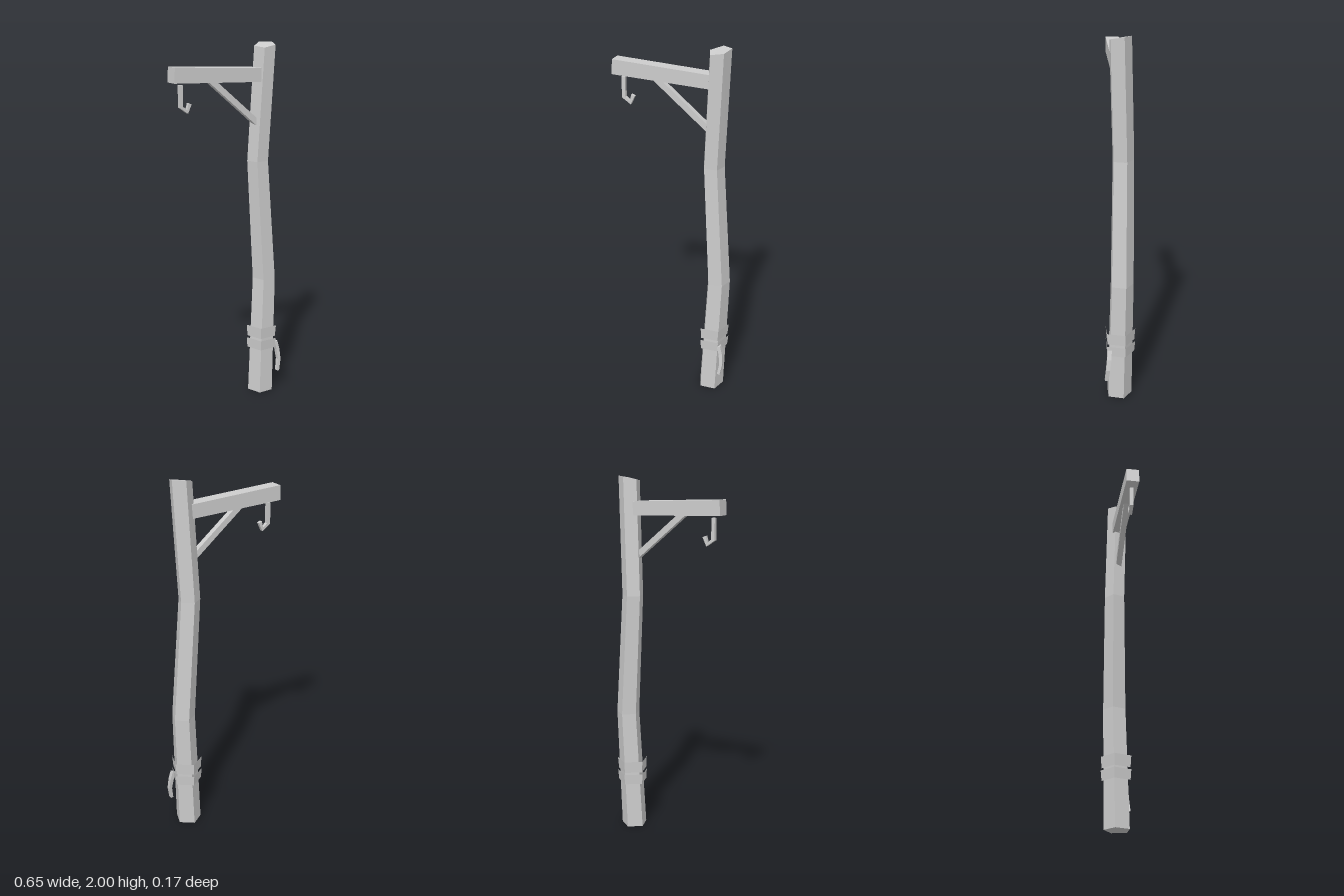
import * as THREE from 'three';

const stone = new THREE.MeshStandardMaterial({ color: 0xcccccc });
stone.name = 'plainGrey';

// Skins a list of rings (clockwise seen from the end); unshared corners keep the facets flat
function loft(name, rings, capped = true) {
  const pos = [];
  const tri = (...pts) => pts.forEach((p) => pos.push(p.x, p.y, p.z));
  const n = rings[0].length;
  for (let i = 0; i < rings.length - 1; i++) {
    const a = rings[i], b = rings[i + 1];
    for (let k = 0; k < n; k++) {
      const m = (k + 1) % n;
      tri(a[k], b[k], b[m]);
      tri(a[k], b[m], a[m]);
    }
  }
  if (capped) {
    const mid = (r) => r.reduce((s, p) => s.add(p), new THREE.Vector3()).divideScalar(n);
    const first = rings[0], last = rings[rings.length - 1];
    const c0 = mid(first), c1 = mid(last);
    for (let k = 0; k < n; k++) {
      const m = (k + 1) % n;
      tri(c0, first[k], first[m]);
      tri(c1, last[m], last[k]);
    }
  }
  const geo = new THREE.BufferGeometry();
  geo.setAttribute('position', new THREE.Float32BufferAttribute(pos, 3));
  geo.computeVertexNormals();
  const mesh = new THREE.Mesh(geo, stone);
  mesh.name = name;
  return mesh;
}

// Horizontal five-sided ring with one corner to the back
function pentagon(x, y, z, r, rise = [0, 0, 0, 0, 0]) {
  return rise.map((dy, k) => {
    const a = (k * Math.PI * 2) / 5;
    return new THREE.Vector3(x + r * Math.sin(a), y + dy, z - r * Math.cos(a));
  });
}

// Square bar along points [x, y, z, half width, half depth]
function bar(name, points) {
  const rings = points.map(([x, y, z, w, d], i) => {
    const p = points[Math.max(i - 1, 0)], q = points[Math.min(i + 1, points.length - 1)];
    const dir = new THREE.Vector2(q[0] - p[0], q[1] - p[1]).normalize();
    return [[1, 1], [1, -1], [-1, -1], [-1, 1]].map(([s, t]) =>
      new THREE.Vector3(x - dir.y * w * s, y + dir.x * w * s, z + d * t));
  });
  return loft(name, rings);
}

export function createModel() {
  const group = new THREE.Group();
  group.name = 'hookPost';

  // Crooked post with an uneven cut top
  group.add(loft('post', [
    pentagon(0.233, 0, 0.005, 0.073),
    pentagon(0.26, 0.68, -0.007, 0.066),
    pentagon(0.216, 1.36, -0.016, 0.06),
    pentagon(0.244, 1.985, 0.002, 0.06, [0.013, 0.015, 0.003, -0.01, -0.003]),
  ]));

  // Crossarm and its diagonal brace
  group.add(bar('crossarm', [
    [-0.328, 1.856, -0.006, 0.04, 0.036],
    [0.215, 1.831, 0.001, 0.037, 0.036],
  ]));
  group.add(bar('brace', [
    [-0.11, 1.825, -0.003, 0.016, 0.016],
    [0.205, 1.563, 0, 0.016, 0.016],
  ]));

  // Hanging hook
  group.add(bar('hook', [
    [-0.276, 1.802, -0.005, 0.01, 0.01],
    [-0.276, 1.69, -0.005, 0.01, 0.01],
    [-0.24, 1.664, -0.005, 0.01, 0.01],
    [-0.224, 1.705, -0.005, 0.01, 0.009],
  ]));

  // Two wrapped bands, open above and below
  for (const [name, low, high] of [['lowerBand', 0.265, 0.323], ['upperBand', 0.335, 0.4]]) {
    group.add(loft(name, [
      pentagon(0.24, low, 0.002, 0.083),
      pentagon(0.241, high, 0.002, 0.088),
    ], false));
  }

  // Loose end hanging from the bands
  group.add(bar('looseEnd', [
    [0.296, 0.3, 0.06, 0.01, 0.012],
    [0.309, 0.25, 0.063, 0.01, 0.012],
    [0.315, 0.19, 0.07, 0.009, 0.011],
    [0.303, 0.122, 0.077, 0.008, 0.01],
  ]));

  return group;
}
